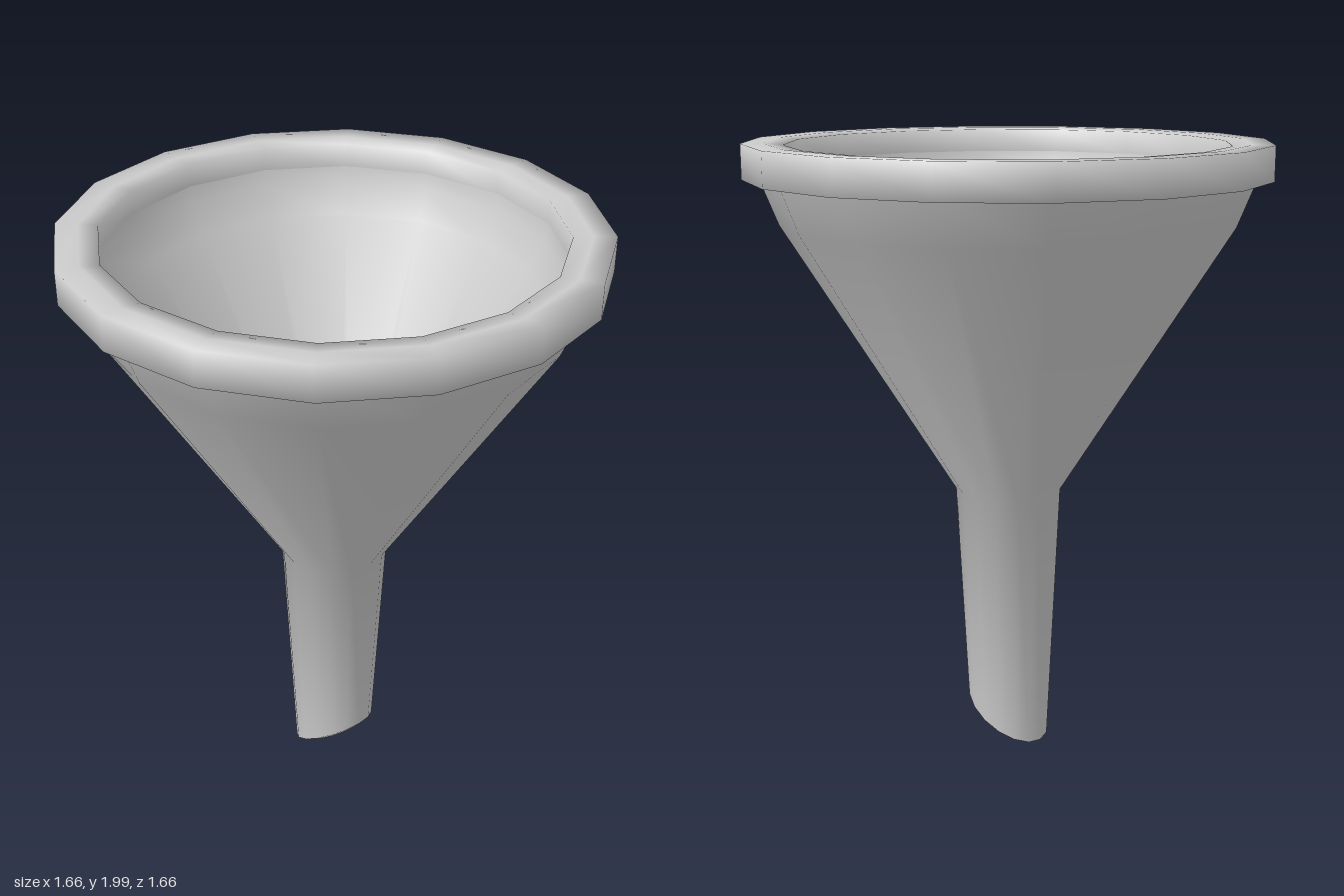
import * as THREE from 'three';
import { mergeVertices } from 'three/addons/utils/BufferGeometryUtils.js';

const SIDES = 16;

// Lathe a [radius, height] profile, reshape it by an optional rule, then smooth across the seam
function turned(name, profile, rule) {
  let geo = new THREE.LatheGeometry(profile.map(([r, y]) => new THREE.Vector2(r, y)), SIDES);
  const pos = geo.attributes.position;
  if (rule) {
    for (let i = 0; i < pos.count; i++) pos.setY(i, rule(pos.getX(i), pos.getY(i)));
  }
  geo.deleteAttribute('uv');
  geo.deleteAttribute('normal');
  geo = mergeVertices(geo, 1e-4);
  geo.computeVertexNormals();
  const mesh = new THREE.Mesh(
    geo,
    new THREE.MeshStandardMaterial({ color: 0xcccccc, side: THREE.DoubleSide })
  );
  mesh.name = name;
  return mesh;
}

export function createModel() {
  const group = new THREE.Group();
  group.name = 'funnel';

  // Cone and spout in one wall of even thickness: down the inside, round the lip, up the outside.
  // The lip is sheared to give the slanted tip.
  const slant = (x, y) => (y < 0.2 ? y + 0.62 * x : y);
  group.add(turned('coneAndSpout', [
    [0.70, 1.92], [0.69, 1.87], [0.645, 1.77], [0.12, 0.9], [0.09, 0.83],
    [0.09, 0.08], [0.112, 0.076], [0.134, 0.09],
    [0.174, 0.88], [0.72, 1.75], [0.78, 1.9],
  ], slant));

  // Thick band round the mouth
  group.add(turned('rim', [
    [0.77, 1.89], [0.83, 1.89], [0.83, 2.0], [0.76, 2.0], [0.70, 1.995], [0.70, 1.91],
  ]));

  return group;
}
